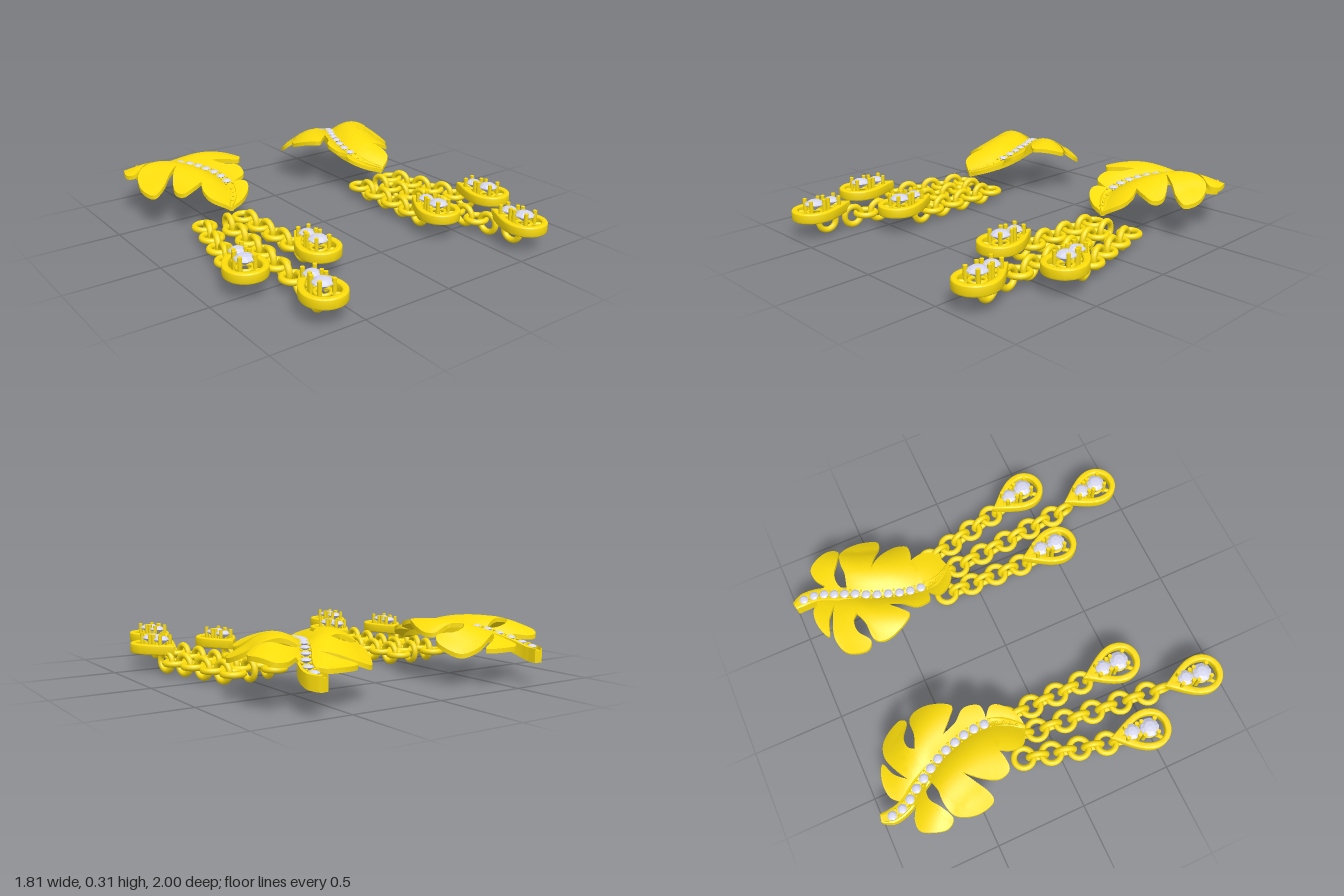
import * as THREE from 'three';
import { toCreasedNormals } from 'three/addons/utils/BufferGeometryUtils.js';

const gold = new THREE.MeshStandardMaterial({ color: 0xfbdc0a });
const stone = new THREE.MeshStandardMaterial({ color: 0xd6d6ee, flatShading: true });

function add(parent, name, geometry, material, x = 0, y = 0, z = 0) {
  const mesh = new THREE.Mesh(geometry, material);
  mesh.name = name;
  mesh.position.set(x, y, z);
  parent.add(mesh);
  return mesh;
}

// Midrib in plan: x and p, where p = -z
const spine = new THREE.SplineCurve([
  [0.64, 0.997], [0.655, 0.93], [0.637, 0.85], [0.59, 0.77], [0.54, 0.68], [0.49, 0.59],
  [0.455, 0.49], [0.432, 0.40], [0.43, 0.29], [0.46, 0.20], [0.515, 0.125],
].map(([x, p]) => new THREE.Vector2(x, p)));
const samples = spine.getPoints(80);

function spineX(p) {
  if (p >= samples[0].y) return samples[0].x;
  for (let i = 1; i < samples.length; i++) {
    const a = samples[i - 1], b = samples[i];
    if (p >= b.y) return b.x + (a.x - b.x) * (p - b.y) / (a.y - b.y);
  }
  return samples[samples.length - 1].x;
}

// Height of the arched midrib, and of the leaf halves swelling beside it
const ridge = (p) => 0.262 - (p < 0.63 ? 0.33 * (p - 0.63) ** 2 : 0.088 * THREE.MathUtils.smoothstep(p, 0.63, 0.98));
function leafHeight(x, p) {
  const d = Math.abs(x - spineX(p));
  const swell = 0.06 * (1 - ((d - 0.145) / 0.145) ** 2);
  const fade = Math.max(0.3, 1 - ((p - 0.5) / 0.48) ** 2);
  return ridge(p) + swell * (swell > 0 ? fade : 0.5);
}

// Halve long edges until the surface can bend smoothly
function subdivide(geometry, limit) {
  const pos = geometry.attributes.position, out = [];
  const split = (a, b, c) => {
    const ab = a.distanceTo(b), bc = b.distanceTo(c), ca = c.distanceTo(a);
    const longest = Math.max(ab, bc, ca);
    if (longest < limit) out.push(a.x, a.y, a.z, b.x, b.y, b.z, c.x, c.y, c.z);
    else if (longest === bc) split(b, c, a);
    else if (longest === ca) split(c, a, b);
    else {
      const m = a.clone().add(b).multiplyScalar(0.5);
      split(a, m, c);
      split(m, b, c);
    }
  };
  const v = (i) => new THREE.Vector3().fromBufferAttribute(pos, i);
  for (let i = 0; i < pos.count; i += 3) split(v(i), v(i + 1), v(i + 2));
  return new THREE.BufferGeometry().setAttribute('position', new THREE.Float32BufferAttribute(out, 3));
}

const LEAF_THICKNESS = 0.023;
function leafGeometry() {
  // One smooth curve per lobe, meeting at sharp notches
  const right = [
    [[0.60, 0.17], [0.615, 0.24], [0.59, 0.31]],
    [[0.64, 0.295], [0.70, 0.30], [0.72, 0.37], [0.68, 0.46], [0.62, 0.53]],
    [[0.69, 0.485], [0.76, 0.44], [0.81, 0.44], [0.835, 0.52], [0.825, 0.60], [0.79, 0.655], [0.72, 0.675], [0.65, 0.675], [0.57, 0.70]],
    [[0.62, 0.73], [0.68, 0.73], [0.74, 0.69], [0.81, 0.66], [0.845, 0.72], [0.80, 0.83], [0.73, 0.84], [0.66, 0.80]],
  ];
  const left = [
    [[0.65, 0.86], [0.61, 0.87]],
    [[0.56, 0.915], [0.47, 0.92], [0.39, 0.885], [0.47, 0.85], [0.53, 0.79]],
    [[0.46, 0.83], [0.36, 0.862], [0.27, 0.83], [0.22, 0.73], [0.25, 0.685], [0.32, 0.73], [0.38, 0.73], [0.41, 0.70]],
    [[0.34, 0.675], [0.25, 0.668], [0.215, 0.61], [0.23, 0.52], [0.28, 0.44], [0.33, 0.47], [0.40, 0.54]],
    [[0.37, 0.46], [0.315, 0.39], [0.325, 0.31], [0.37, 0.295], [0.40, 0.30]],
    [[0.35, 0.25], [0.37, 0.19], [0.44, 0.135], [0.515, 0.12]],
  ];
  const shape = new THREE.Shape().moveTo(0.515, 0.12);
  for (const lobe of [...right, ...left]) shape.splineThru(lobe.map(([x, p]) => new THREE.Vector2(x, p)));
  const flat = new THREE.ExtrudeGeometry(shape, { depth: LEAF_THICKNESS, bevelEnabled: false, curveSegments: 5 });
  const geometry = subdivide(flat, 0.035);
  const pos = geometry.attributes.position;
  for (let i = 0; i < pos.count; i++) {
    const x = pos.getX(i), p = pos.getY(i);
    pos.setXYZ(i, x, leafHeight(x, p) - LEAF_THICKNESS + pos.getZ(i), -p);
  }
  return toCreasedNormals(geometry, 0.7);
}

// Channelled bar swept along the midrib, tapering to the leaf tip
function midribGeometry() {
  const section = [[-1, -1], [1, -1], [1, 0.2], [0.72, 0.28], [0.6, 0], [-0.6, 0], [-0.72, 0.28], [-1, 0.2]];
  const pos = [], index = [], n = section.length, last = samples.length - 1;
  samples.forEach((c, i) => {
    const t = i / last, tan = spine.getTangent(t);
    const w = Math.min(0.038, 0.02 + t * 0.2, 0.01 + (1 - t) * 0.11), h = 0.06 - 0.03 * t;
    // side vector is up x tangent, with z = -p
    for (const [u, v] of section) pos.push(c.x - tan.y * w * u, ridge(c.y) + 0.005 + v * h, -c.y - tan.x * w * u);
    for (let j = 0; j < n && i < last; j++) {
      const a = i * n + j, b = i * n + (j + 1) % n;
      index.push(a, b, b + n, a, b + n, a + n);
    }
  });
  for (let j = 1; j < n - 1; j++) index.push(0, j + 1, j, last * n, last * n + j, last * n + j + 1);
  const geometry = new THREE.BufferGeometry();
  geometry.setAttribute('position', new THREE.Float32BufferAttribute(pos, 3));
  geometry.setIndex(index);
  return toCreasedNormals(geometry, 0.6);
}

function gemGeometry(r) {
  const profile = [[0, -0.7], [1, 0], [0.96, 0.1], [0.55, 0.36], [0, 0.42]];
  return new THREE.LatheGeometry(profile.map(([x, y]) => new THREE.Vector2(x * r, y * r)), 10);
}

function addLeaf(parent) {
  add(parent, 'leaf', leafGeometry(), gold);
  add(parent, 'midrib', midribGeometry(), gold);
  const bead = new THREE.SphereGeometry(0.007, 8, 6);
  for (let i = 0; i < 12; i++) {
    const t = 0.065 + i * 0.064, c = spine.getPointAt(t);
    add(parent, 'midribGem', gemGeometry(0.026), stone, c.x, ridge(c.y) + 0.016, -c.y);
    const m = spine.getPointAt(t + 0.032), tan = spine.getTangentAt(t + 0.032);
    for (const s of [-0.019, 0.019]) add(parent, 'bead', bead, gold, m.x - tan.y * s, ridge(m.y) + 0.018, -m.y - tan.x * s);
  }
  for (let i = 0; i < 4; i++) {
    const c = spine.getPointAt(0.84 + i * 0.038);
    add(parent, 'tipBead', bead, gold, c.x, ridge(c.y) + 0.008, -c.y);
  }
}

const flatLink = new THREE.TorusGeometry(0.053, 0.0165, 10, 24).rotateX(Math.PI / 2);
const uprightLink = new THREE.TorusGeometry(0.05, 0.0165, 10, 24).rotateY(Math.PI / 2);
const LINK_Y = 0.072;

// Flat links from a to b with upright links between; `lead` starts one upright link earlier
function addChain(parent, a, b, count, lead) {
  const dx = (b[0] - a[0]) / (count - 1), dz = (b[1] - a[1]) / (count - 1);
  for (let i = lead ? -0.5 : 0; i < count; i += 0.5) {
    const flat = Number.isInteger(i);
    const link = add(parent, flat ? 'flatLink' : 'uprightLink', flat ? flatLink : uprightLink, gold, a[0] + dx * i, LINK_Y, a[1] + dz * i);
    link.rotation.y = Math.atan2(dx, dz);
  }
}

// Teardrop outline, tip at the origin, running along -y of the shape (+z once laid flat)
function teardrop(path, top, w, bottom) {
  const mid = -0.215;
  path.moveTo(0, -top);
  path.bezierCurveTo(-0.25 * w, -top - 0.05, -w, mid + 0.08, -w, mid);
  path.bezierCurveTo(-w, mid - 0.062, -0.55 * w, -bottom, 0, -bottom);
  path.bezierCurveTo(0.55 * w, -bottom, w, mid - 0.062, w, mid);
  path.bezierCurveTo(w, mid + 0.08, 0.25 * w, -top - 0.05, 0, -top);
  return path;
}

function addPendant(parent, tip, end) {
  const pendant = new THREE.Group();
  pendant.name = 'pendant';
  pendant.position.set(tip[0], 0, tip[1]);
  pendant.rotation.y = Math.atan2(end[0] - tip[0], end[1] - tip[1]);
  parent.add(pendant);

  const shape = teardrop(new THREE.Shape(), 0.008, 0.102, 0.322);
  shape.holes.push(teardrop(new THREE.Path(), 0.05, 0.084, 0.304));
  const rim = new THREE.ExtrudeGeometry(shape, {
    depth: 0.039, bevelThickness: 0.008, bevelSize: 0.008, bevelSegments: 3, curveSegments: 14,
  }).rotateX(-Math.PI / 2);
  add(pendant, 'pendantRim', toCreasedNormals(rim, 0.7), gold, 0, 0.113, 0);

  // Two stones, each held by a cup, four posts and struts to the rim
  const post = new THREE.CylinderGeometry(0.011, 0.011, 0.095, 10);
  for (const [z, r, reach] of [[0.112, 0.044, 0.062], [0.207, 0.053, 0.1]]) {
    add(pendant, 'pendantStone', gemGeometry(r), stone, 0, 0.183, z);
    const cup = new THREE.TorusGeometry(r * 0.72, 0.01, 8, 24).rotateX(Math.PI / 2);
    add(pendant, 'stoneCup', cup, gold, 0, 0.135, z);
    for (let i = 0; i < 4; i++) {
      const angle = Math.PI * (0.25 + i / 2), sx = Math.sin(angle), cz = Math.cos(angle);
      add(pendant, 'stonePost', post, gold, sx * r, 0.162, z + cz * r);
      if ((z > 0.2) !== (cz > 0)) continue;
      const strut = new THREE.CylinderGeometry(0.012, 0.012, reach - r * 0.7, 8).rotateX(Math.PI / 2);
      const mid = (reach + r * 0.7) / 2;
      add(pendant, 'strut', strut, gold, sx * mid, 0.132, z + cz * mid).rotation.y = angle;
    }
  }
  return pendant;
}

// Copy reflected in x, with the corner order reversed to keep faces outward
function mirrored(source) {
  const group = new THREE.Group();
  const flip = new THREE.Matrix4().makeScale(-1, 1, 1);
  source.updateMatrixWorld(true);
  source.traverse((o) => {
    if (!o.isMesh) return;
    const g = (o.geometry.index ? o.geometry.toNonIndexed() : o.geometry.clone()).applyMatrix4(flip.clone().multiply(o.matrixWorld));
    for (const { array, itemSize: s } of Object.values(g.attributes)) {
      for (let i = 0; i < array.length; i += 3 * s) {
        const second = array.slice(i + s, i + 2 * s);
        array.copyWithin(i + s, i + 2 * s, i + 3 * s);
        array.set(second, i + 2 * s);
      }
    }
    add(group, o.name, g, o.material);
  });
  return group;
}

export function createModel() {
  const model = new THREE.Group();
  model.name = 'leafEarrings';
  const left = new THREE.Group();
  left.name = 'leftEarring';
  addLeaf(left);
  addChain(left, [0.405, -0.185], [0.394, 0.275], 4, false);
  addChain(left, [0.535, -0.06], [0.602, 0.58], 5, true);
  addChain(left, [0.645, -0.19], [0.757, 0.25], 4, false);
  addPendant(left, [0.394, 0.29], [0.394, 0.62]);
  addPendant(left, [0.755, 0.27], [0.815, 0.59]);
  // The lowest pendant carries one more link behind it
  const lowest = addPendant(left, [0.62, 0.67], [0.655, 1.0]);
  add(lowest, 'pendantLoop', uprightLink, gold, 0, LINK_Y, 0.14);
  const right = mirrored(left);
  right.name = 'rightEarring';
  model.add(left, right);
  return model;
}
